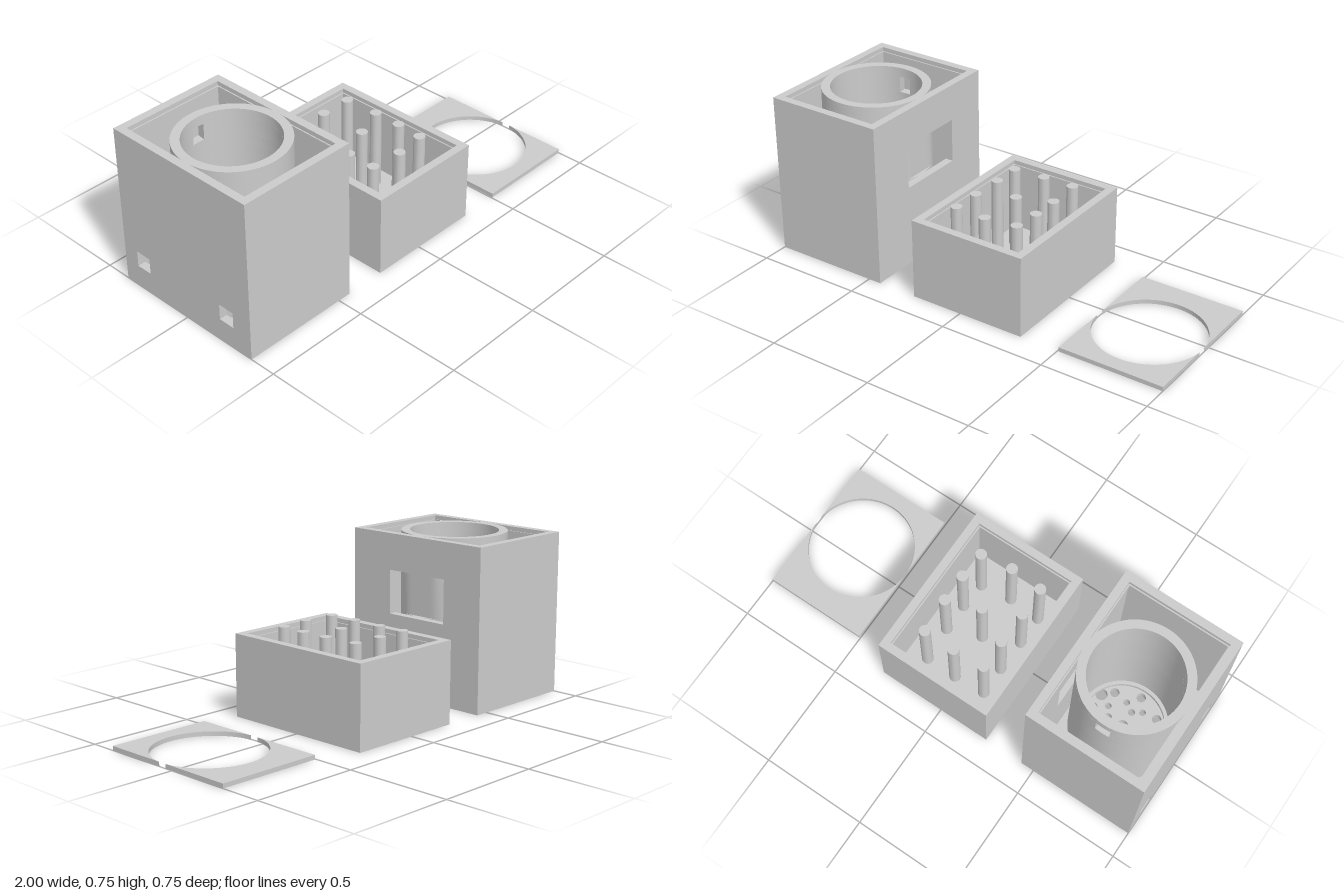
import * as THREE from 'three';
import { toCreasedNormals } from 'three/addons/utils/BufferGeometryUtils.js';

const WALL = 0.0375, HALF_Z = 0.377, WIDTH = 0.563;
const POT = { x: -0.7185, z: 0.01, outer: 0.245, inner: 0.205 };
const mat = new THREE.MeshStandardMaterial({ color: 0xcccccc, side: THREE.DoubleSide });

function add(parent, name, geometry) {
  const mesh = new THREE.Mesh(toCreasedNormals(geometry, 0.5), mat);
  mesh.name = name;
  parent.add(mesh);
  return mesh;
}

// Plan shapes use (x, -z) and are raised from y0 to y1
function raise(shape, y0, y1) {
  const g = new THREE.ExtrudeGeometry(shape, { depth: y1 - y0, bevelEnabled: false, curveSegments: 24 });
  return g.rotateX(-Math.PI / 2).translate(0, y0, 0);
}

function rect(x0, y0, x1, y1, Type = THREE.Shape) {
  return new Type([[x0, y0], [x1, y0], [x1, y1], [x0, y1]].map(([x, y]) => new THREE.Vector2(x, y)));
}

function hole(shape, x, z, r) {
  shape.holes.push(new THREE.Path().absarc(x, -z, r, 0, Math.PI * 2, true));
}

// Wall in the z-y plane with rectangular openings [z0, y0, z1, y1], outer face towards +x at xMax
function sideWall(xMax, y0, y1, openings) {
  const s = rect(-HALF_Z, y0, HALF_Z, y1);
  for (const o of openings) s.holes.push(rect(...o, THREE.Path));
  const g = new THREE.ExtrudeGeometry(s, { depth: WALL, bevelEnabled: false });
  return g.rotateY(-Math.PI / 2).translate(xMax, 0, 0);
}

// Open box: floor, four walls and a narrow ledge below the rim
function openBox(group, cx, height, drill, rightOpenings, leftOpenings) {
  const x0 = cx - WIDTH / 2, x1 = cx + WIDTH / 2, inZ = HALF_Z - WALL;
  const floor = rect(x0, -HALF_Z, x1, HALF_Z);
  for (const h of drill) hole(floor, ...h);
  add(group, 'floor', raise(floor, 0, WALL));
  add(group, 'rightWall', sideWall(x1, WALL, height, rightOpenings));
  add(group, 'leftWall', sideWall(x0 + WALL, WALL, height, leftOpenings));
  for (const s of [1, -1]) {
    const wall = new THREE.BoxGeometry(WIDTH - 2 * WALL, height - WALL, WALL);
    wall.translate(cx, (height + WALL) / 2, s * (HALF_Z - WALL / 2));
    add(group, s > 0 ? 'frontWall' : 'backWall', wall);
  }
  const ledge = rect(x0 + WALL, -inZ, x1 - WALL, inZ), e = 0.006;
  ledge.holes.push(rect(x0 + WALL + e, -inZ + e, x1 - WALL - e, inZ - e, THREE.Path));
  add(group, 'lidLedge', raise(ledge, height - 0.04, height - 0.02));
}

// Ring band; "flat" shaves the outside at a given x, "gap" leaves a slot at the back
function ringShape(outer, inner, flat = Infinity, gap = 0) {
  const n = 64, start = Math.PI / 2 + gap, span = Math.PI * 2 - 2 * gap;
  const arc = (r, limit) => Array.from({ length: n + 1 }, (_, i) => {
    const a = start + span * i / n;
    return new THREE.Vector2(Math.min(r * Math.cos(a), limit), r * Math.sin(a));
  });
  const out = arc(outer, flat), inn = arc(inner, Infinity);
  if (gap) return new THREE.Shape([...out, ...inn.reverse()]);
  const s = new THREE.Shape(out.slice(0, n));
  s.holes.push(new THREE.Path(inn.slice(0, n).reverse()));
  return s;
}

export function createModel() {
  const model = new THREE.Group();
  const pins = [[-0.12, -0.21], [0.03, -0.22], [0.18, -0.22], [-0.12, -0.075], [0.19, -0.055], [0.035, 0.005],
    [-0.125, 0.08], [0.19, 0.08], [-0.125, 0.22], [0.03, 0.23], [0.18, 0.21]];

  // Tall box: holes for the pins, one filling hole, and drain rings under the pot
  const planter = new THREE.Group();
  planter.name = 'planterBox';
  const drill = pins.filter((_, i) => i !== 5).map(([x, z]) => [x - 0.753, z, 0.027]);
  drill.push([-0.515, -0.297, 0.035], [POT.x, POT.z, 0.026]);
  for (const [count, radius, r, turn] of [[4, 0.075, 0.016, 0], [8, 0.11, 0.015, Math.PI / 8], [8, 0.157, 0.021, 0]]) {
    for (let i = 0; i < count; i++) {
      const a = turn + i * Math.PI * 2 / count;
      drill.push([POT.x + radius * Math.cos(a), POT.z + radius * Math.sin(a), r]);
    }
  }
  openBox(planter, -0.7185, 0.755, drill, [[-0.17, 0.38, 0.153, 0.585]],
    [[-0.3, 0.105, -0.222, 0.18], [0.2, 0.105, 0.278, 0.18]]);

  // Round pot in stacked bands: plain, shaved behind the window, plain, slotted, plain
  const bands = [[WALL, 0.38], [0.38, 0.585, 0.23], [0.585, 0.635], [0.635, 0.71, Infinity, 0.14], [0.71, 0.755]];
  const pot = new THREE.Group();
  pot.name = 'roundPot';
  pot.position.set(POT.x, 0, POT.z);
  for (const [y0, y1, flat, gap] of bands) {
    add(pot, 'potBand', raise(ringShape(POT.outer, POT.inner, flat, gap), y0, y1));
  }
  add(pot, 'potFloorLip', raise(ringShape(POT.inner, 0.188), WALL, WALL + 0.02));
  planter.add(pot);
  model.add(planter);

  // Low box with standing pins
  const base = new THREE.Group();
  base.name = 'waterTray';
  openBox(base, 0.034, 0.378, [], [], []);
  const pinHeight = 0.415 - WALL;
  for (const [x, z] of pins) {
    const pin = add(base, 'pin', new THREE.CylinderGeometry(0.026, 0.026, pinHeight, 24));
    pin.position.set(x, WALL + pinHeight / 2, z);
  }
  model.add(base);

  // Thin lid in two halves, parted by a round opening wider than the lid
  const lid = new THREE.Group();
  lid.name = 'lid';
  const cx = 0.7525, cz = 0.0575, half = 0.2475, r = 0.2483;
  const a = Math.acos(half / r);
  for (const [s, edge] of [[-1, -0.305], [1, 0.377]]) {
    const pts = [new THREE.Vector2(cx + half, -edge), new THREE.Vector2(cx - half, -edge)];
    for (let i = 0; i <= 48; i++) {
      const t = Math.PI - a - (Math.PI - 2 * a) * i / 48;
      pts.push(new THREE.Vector2(cx + r * Math.cos(t), -(cz + s * r * Math.sin(t))));
    }
    add(lid, s > 0 ? 'lidFront' : 'lidBack', raise(new THREE.Shape(pts), 0, 0.02));
  }
  model.add(lid);
  return model;
}
